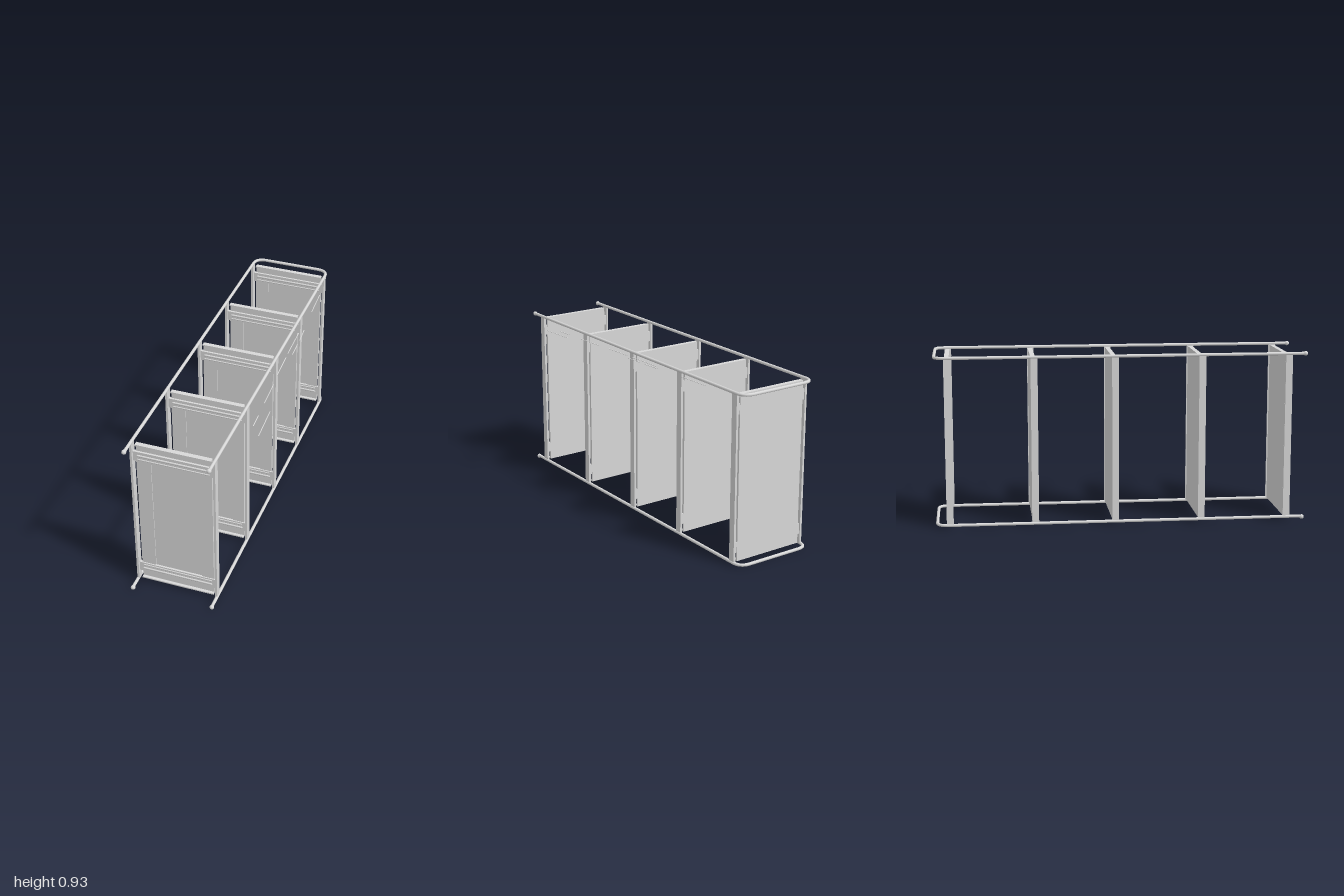
import * as THREE from 'three';

const X0 = -0.281, X1 = 0.16, MID = (X0 + X1) / 2;   // rail positions
const Y0 = 0.0155, Y1 = 0.913;
const SHELF_BACKS = [0.881, 0.412, -0.055, -0.486, -0.941];

export function createModel() {
  const model = new THREE.Group();
  const metal = new THREE.MeshStandardMaterial({ color: 0xd8d8d8 });
  metal.name = 'light grey metal';

  const add = (parent, name, geometry, x = 0, y = 0, z = 0) => {
    const mesh = new THREE.Mesh(geometry, metal);
    mesh.name = name;
    mesh.position.set(x, y, z);
    parent.add(mesh);
    return mesh;
  };
  // box given by its limits on each axis
  const box = (parent, name, xa, xb, ya, yb, za, zb) =>
    add(parent, name, new THREE.BoxGeometry(xb - xa, yb - ya, zb - za),
      (xa + xb) / 2, (ya + yb) / 2, (za + zb) / 2);

  // two U-shaped tube frames with rounded corners and ball feet
  const v = (x, z) => new THREE.Vector3(x, 0, z);
  const zBack = -0.991, r = 0.06;
  for (const y of [Y0, Y1]) {
    const path = new THREE.CurvePath();
    path.add(new THREE.LineCurve3(v(X0, 0.985), v(X0, zBack + r)));
    path.add(new THREE.QuadraticBezierCurve3(v(X0, zBack + r), v(X0, zBack), v(X0 + r, zBack)));
    path.add(new THREE.LineCurve3(v(X0 + r, zBack), v(X1 - r, zBack)));
    path.add(new THREE.QuadraticBezierCurve3(v(X1 - r, zBack), v(X1, zBack), v(X1, zBack + r)));
    path.add(new THREE.LineCurve3(v(X1, zBack + r), v(X1, 0.985)));
    add(model, 'railFrame', new THREE.TubeGeometry(path, 240, 0.0085, 10), 0, y, 0);
    for (const x of [X0, X1]) {
      add(model, 'railFoot', new THREE.SphereGeometry(0.0125, 14, 10), x, y === Y0 ? 0.0125 : Y1, 0.9875);
    }
  }

  // rounded rib running across a shelf
  const rib = (parent, y, z, radius) => {
    const geo = new THREE.CapsuleGeometry(radius, 0.375, 4, 10);
    geo.rotateZ(Math.PI / 2);
    add(parent, 'crossRib', geo, MID, y, z);
  };

  // five tray shelves held between slim side bars
  for (const z of SHELF_BACKS) {
    const shelf = new THREE.Group();
    shelf.name = 'shelf';
    shelf.position.z = z;
    model.add(shelf);

    for (const x of [X0 + 0.002, X1 - 0.002]) {
      box(shelf, 'sideBar', x - 0.006, x + 0.006, Y0, Y1, 0, 0.037);
    }
    box(shelf, 'panel', -0.26, 0.14, 0.022, 0.906, 0.003, 0.012);
    box(shelf, 'leftFlap', 0.075, 0.14, 0.125, 0.803, 0.012, 0.017);
    box(shelf, 'rightFlap', -0.26, -0.182, 0.125, 0.803, 0.012, 0.017);

    // the same end details at the bottom and mirrored at the top
    for (const top of [false, true]) {
      const m = (a, b) => top ? [0.928 - b, 0.928 - a] : [a, b];
      box(shelf, 'crossBand', X0, X1, ...m(0.068, 0.125), 0.006, 0.023);
      box(shelf, 'endLip', -0.26, 0.14, ...m(0.021, 0.028), 0.003, 0.028);
      for (const [y, radius] of [[0.09, 0.006], [0.113, 0.004]]) {
        rib(shelf, top ? 0.928 - y : y, 0.023, radius);
      }
    }
  }

  // loose thin slivers beside the upper rail: x, z at both ends
  const slivers = [
    [0.19, -0.73, 0.2, -0.54], [0.216, -0.35, 0.224, -0.24], [0.225, -0.2, 0.228, -0.1],
    [0.197, -0.31, 0.202, -0.1], [0.205, -0.06, 0.212, 0.11], [0.221, 0.2, 0.229, 0.37],
    [0.235, 0.48, 0.239, 0.57], [0.279, 0.43, 0.29, 0.64],
  ];
  for (const [xa, za, xb, zb] of slivers) {
    const geo = new THREE.BoxGeometry(0.004, 0.002, Math.hypot(xb - xa, zb - za));
    add(model, 'sliver', geo, (xa + xb) / 2, 0.905, (za + zb) / 2).rotation.y = Math.atan2(xb - xa, zb - za);
  }
  return model;
}
